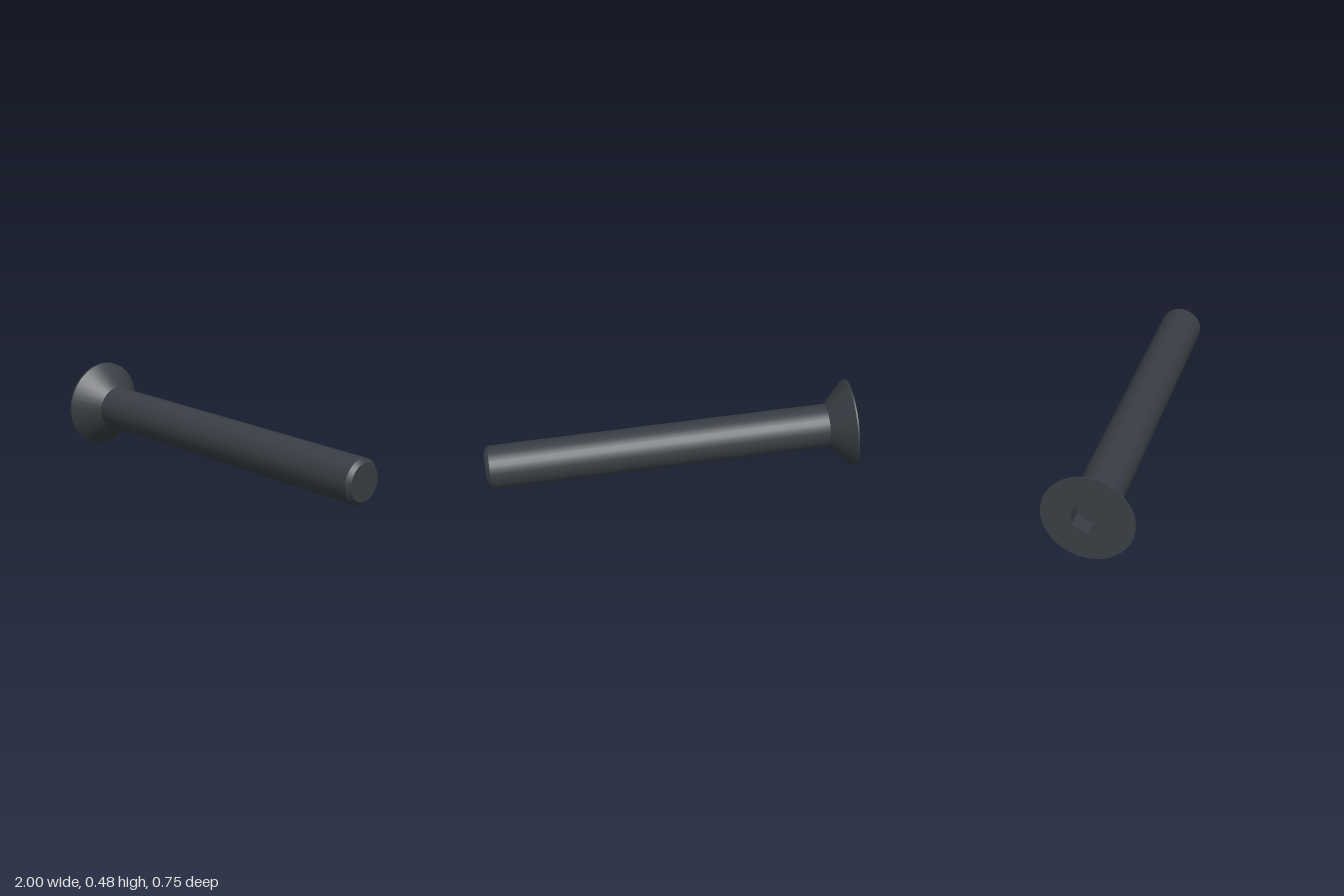
import * as THREE from 'three';

const HEAD_R = 0.238, SHAFT_R = 0.117, TIP_R = 0.098;
const SOCKET_R = 0.092, SOCKET_DEPTH = 0.088;
const RIM = 0.008, NECK = 0.128, CHAMFER = 0.021;
const SIDES = 32;

// Points of a regular polygon, first corner pointing up
function ring(radius, sides) {
  return Array.from({ length: sides }, (_, i) => {
    const a = (i / sides) * Math.PI * 2;
    return new THREE.Vector2(Math.sin(a) * radius, Math.cos(a) * radius);
  });
}

export function createModel() {
  const model = new THREE.Group();
  model.name = 'countersunkBolt';

  const darkSteel = new THREE.MeshStandardMaterial({ color: 0x383e44 });
  darkSteel.name = 'darkSteel';

  function add(name, geometry) {
    const mesh = new THREE.Mesh(geometry, darkSteel);
    mesh.name = name;
    bolt.add(mesh);
  }

  // One turned band between two (radius, height) points; separate bands keep edges sharp
  function band(r0, y0, r1, y1, sides = SIDES) {
    return new THREE.LatheGeometry([new THREE.Vector2(r0, y0), new THREE.Vector2(r1, y1)], sides);
  }

  // Bolt axis runs from the centre of the head face to the centre of the tip
  const headCentre = new THREE.Vector3(-0.948, 0.238, -0.143);
  const tipCentre = new THREE.Vector3(0.978, 0.117, 0.266);
  const length = headCentre.distanceTo(tipCentre);
  const axis = tipCentre.clone().sub(headCentre).normalize();
  const up = new THREE.Vector3(0, 1, 0).addScaledVector(axis, -axis.y).normalize();
  const side = axis.clone().cross(up);

  const bolt = new THREE.Group();
  bolt.name = 'bolt';
  bolt.position.copy(headCentre);
  bolt.quaternion.setFromRotationMatrix(new THREE.Matrix4().makeBasis(side, axis, up));
  model.add(bolt);

  // Flat head face with a hexagonal opening
  const face = new THREE.Shape(ring(HEAD_R, SIDES));
  face.holes.push(new THREE.Path(ring(SOCKET_R, 6)));
  add('headFace', new THREE.ShapeGeometry(face).rotateX(Math.PI / 2));

  // Hex socket: inward-facing walls and floor
  const walls = band(SOCKET_R, SOCKET_DEPTH, SOCKET_R, 0, 6).toNonIndexed();
  walls.computeVertexNormals();
  add('socketWalls', walls);
  add('socketFloor', band(0, SOCKET_DEPTH, SOCKET_R, SOCKET_DEPTH, 6));

  // Head rim, countersunk cone, shaft and chamfered tip
  add('headRim', band(HEAD_R, 0, HEAD_R, RIM));
  add('headCone', band(HEAD_R, RIM, SHAFT_R, NECK));
  add('shaft', band(SHAFT_R, NECK, SHAFT_R, length - CHAMFER));
  add('tipChamfer', band(SHAFT_R, length - CHAMFER, TIP_R, length));
  add('tipFace', band(TIP_R, length, 0, length));

  return model;
}
